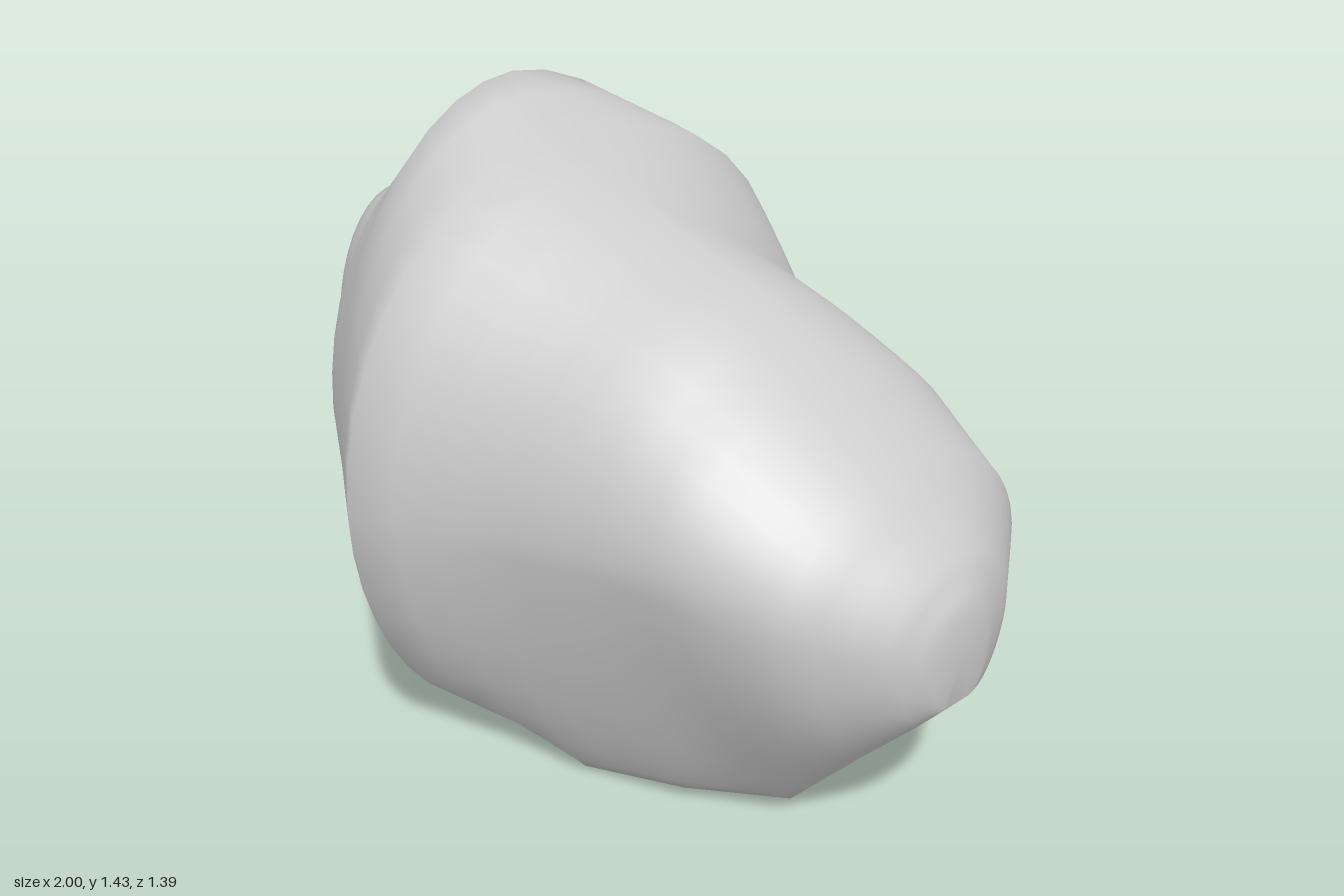
import * as THREE from 'three';

// Cross-sections along x: x, top (y, z), bottom (y, front z, back z),
// front (z, y), back (z, y), fullness of the lower front and upper back
const SECTIONS = [
  [-1.0, 0.84, -0.06, 0.64, 0.0, -0.1, 0.06, 0.72, -0.2, 0.74, 2, 2],
  [-0.92, 1.01, -0.06, 0.46, -0.02, -0.14, 0.14, 0.65, -0.34, 0.7, 2, 1.8],
  [-0.77, 1.08, -0.04, 0.21, -0.04, -0.22, 0.24, 0.63, -0.55, 0.62, 1.9, 1.6],
  [-0.6, 1.2, 0.0, 0.02, -0.1, -0.4, 0.38, 0.63, -0.66, 0.55, 1.75, 1.5],
  [-0.31, 1.43, 0.04, 0.03, 0.1, -0.45, 0.55, 0.64, -0.7, 0.45, 1.9, 1.8],
  [-0.08, 1.34, 0.1, 0.05, 0.28, -0.43, 0.69, 0.66, -0.65, 0.42, 1.9, 2.6],
  [0.22, 1.22, 0.07, 0.0, 0.3, -0.25, 0.56, 0.7, -0.53, 0.5, 1.4, 1.6],
  [0.45, 1.14, 0.05, 0.03, 0.22, -0.16, 0.5, 0.72, -0.46, 0.55, 1.35, 1.7],
  [0.63, 1.03, 0.02, 0.03, 0.07, -0.14, 0.46, 0.72, -0.42, 0.56, 1.4, 1.9],
  [0.82, 0.89, 0.02, 0.26, 0.08, -0.12, 0.37, 0.65, -0.34, 0.58, 1.8, 2],
  [0.95, 0.76, 0.03, 0.41, 0.1, -0.05, 0.24, 0.6, -0.14, 0.58, 2, 2],
  [1.0, 0.67, 0.06, 0.47, 0.09, 0.03, 0.15, 0.57, -0.01, 0.57, 2, 2],
];
const QUARTER = 10;
const STEPS = 3;

const lerpRow = (a, b, t) => a.map((v, i) => v + (b[i] - v) * t);

// Point on one rounded quarter of a section
function sectionPoint(row, q, t) {
  const [x, yT, zT, yB, zBF, zBK, zF, yF, zK, yK, lowFront, highBack] = row;
  const lowBack = THREE.MathUtils.mapLinear(THREE.MathUtils.clamp(x, -0.1, 0.25), -0.1, 0.25, 2.3, 1.8);
  const n = [2, lowFront, lowBack, highBack][q];
  const out = Math.pow(Math.sin((t * Math.PI) / 2), 2 / n);
  const up = Math.pow(Math.max(0, Math.cos((t * Math.PI) / 2)), 2 / n);
  const z0 = [zT, zBF, zBK, zT][q];
  const y1 = q === 0 || q === 3 ? yT : yB;
  const [z1, y0] = q < 2 ? [zF, yF] : [zK, yK];
  return new THREE.Vector3(x, y0 + (y1 - y0) * up, z0 + (z1 - z0) * out);
}

function rockGeometry() {
  const rows = [];
  SECTIONS.forEach((row, i) => {
    if (i === SECTIONS.length - 1) rows.push(row);
    else for (let s = 0; s < STEPS; s++) rows.push(lerpRow(row, SECTIONS[i + 1], s / STEPS));
  });

  const around = QUARTER * 4;
  const points = [];
  for (const row of rows) {
    for (let j = 0; j < around; j++) {
      const q = Math.floor(j / QUARTER);
      const t = (j % QUARTER) / QUARTER;
      // Quarters run top-front, front-bottom, bottom-back, back-top
      points.push(sectionPoint(row, q, q % 2 ? 1 - t : t));
    }
  }

  const index = [];
  for (let i = 0; i < rows.length - 1; i++) {
    for (let j = 0; j < around; j++) {
      const a = i * around + j;
      const b = i * around + ((j + 1) % around);
      index.push(a, b, a + around, b, b + around, a + around);
    }
  }

  // Blunt end caps
  const last = (rows.length - 1) * around;
  const rightTip = points.push(new THREE.Vector3(-1, 0.74, -0.06)) - 1;
  const leftTip = points.push(new THREE.Vector3(1, 0.57, 0.06)) - 1;
  for (let j = 0; j < around; j++) {
    const k = (j + 1) % around;
    index.push(rightTip, k, j, leftTip, last + j, last + k);
  }

  const geometry = new THREE.BufferGeometry().setFromPoints(points);
  geometry.setIndex(index);
  geometry.computeVertexNormals();
  return geometry;
}

export function createModel() {
  const model = new THREE.Group();
  model.name = 'boulder';
  const rock = new THREE.Mesh(rockGeometry(), new THREE.MeshStandardMaterial({ color: 0xcccccc }));
  rock.name = 'rock';
  model.add(rock);
  return model;
}
